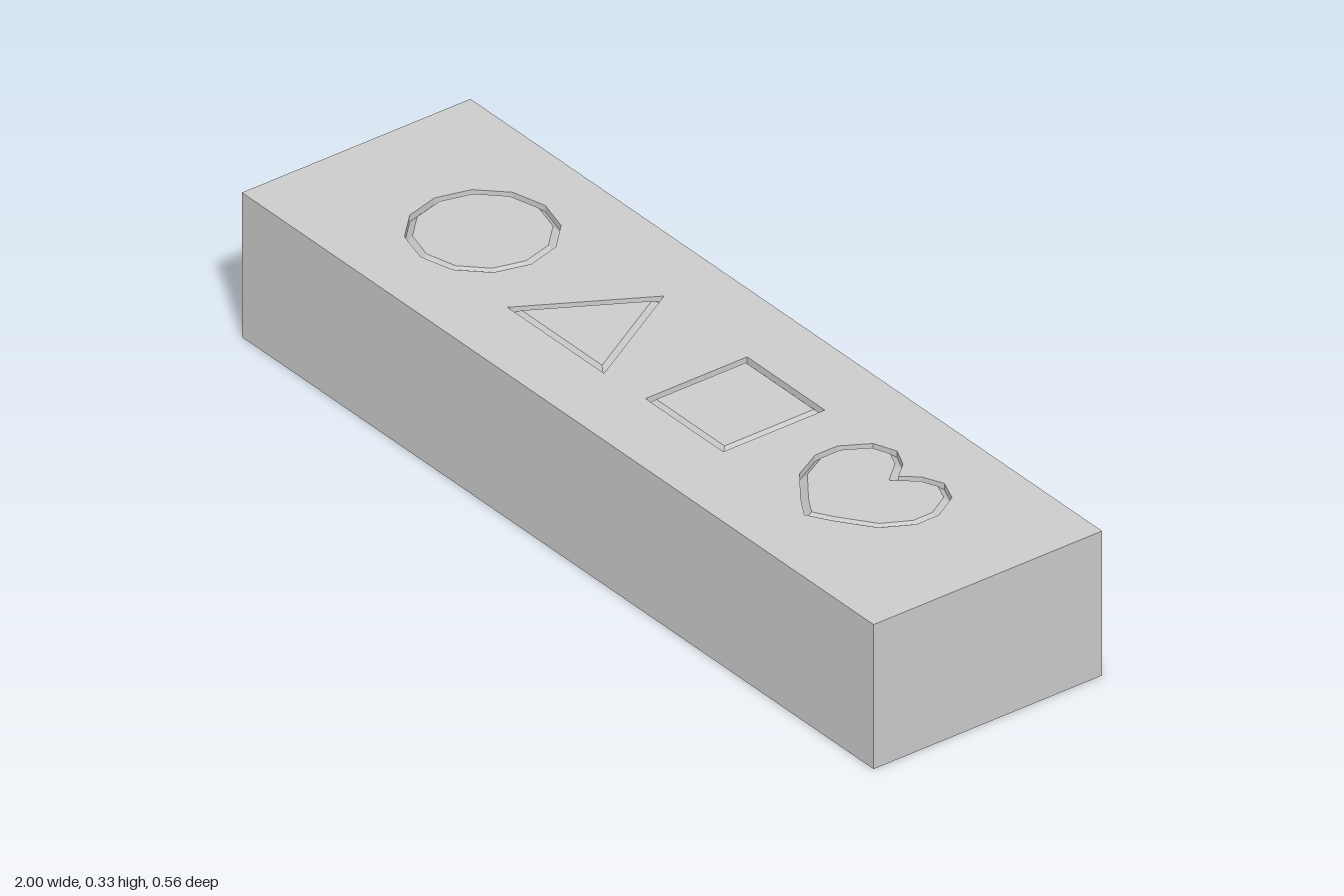
import * as THREE from 'three';

const LENGTH = 2, WIDTH = 0.56, HEIGHT = 0.33;
const DEPTH = 0.015; // groove depth
const BEVEL = 0.015; // bevel width on each inlaid shape

const material = new THREE.MeshStandardMaterial({ color: 0xcccccc, flatShading: true });
const points = (list, cx) => list.map(([x, y]) => new THREE.Vector2(x + cx, y));

// Counter-clockwise outlines on the top face; +y points to the back
function circleOutline(cx, r, sides) {
  return Array.from({ length: sides }, (_, i) => {
    const a = (i / sides) * Math.PI * 2;
    return new THREE.Vector2(cx + r * Math.cos(a), r * Math.sin(a) + 0.003);
  });
}

function heartOutline(cx) {
  const side = [[0.05, -0.11], [0.125, -0.055], [0.16, 0.01], [0.16, 0.065],
    [0.125, 0.125], [0.075, 0.145], [0.03, 0.125]];
  const mirrored = side.map(([x, y]) => [-x, y]).reverse();
  return points([[0, -0.14], ...side, [0, 0.09], ...mirrored], cx);
}

// Outline moved inwards by w with mitred corners
function inset(outline, w) {
  const n = outline.length;
  const normal = (a, b) => {
    const d = b.clone().sub(a).normalize();
    return new THREE.Vector2(-d.y, d.x);
  };
  return outline.map((p, i) => {
    const n1 = normal(outline[(i + n - 1) % n], p);
    const n2 = normal(p, outline[(i + 1) % n]);
    return n1.clone().add(n2).multiplyScalar(w / (1 + n1.dot(n2))).add(p);
  });
}

// Extrude upwards from the floor of the grooves
function extrudeUp(shape) {
  return new THREE.ExtrudeGeometry(shape, { depth: DEPTH, bevelEnabled: false });
}

function place(geometry, name) {
  geometry.rotateX(-Math.PI / 2).translate(0, HEIGHT - DEPTH, 0);
  geometry.computeVertexNormals();
  const mesh = new THREE.Mesh(geometry, material);
  mesh.name = name;
  return mesh;
}

// Prism whose top outline is drawn in, giving sloped sides
function inlay(outline, name) {
  const geometry = extrudeUp(new THREE.Shape(outline));
  const top = inset(outline, BEVEL);
  const pos = geometry.attributes.position;
  for (let i = 0; i < pos.count; i++) {
    if (pos.getZ(i) < DEPTH / 2) continue;
    const k = outline.findIndex(p => Math.hypot(p.x - pos.getX(i), p.y - pos.getY(i)) < 1e-4);
    if (k >= 0) pos.setXY(i, top[k].x, top[k].y);
  }
  return place(geometry, name);
}

export function createModel() {
  const group = new THREE.Group();
  group.name = 'shapeBlock';

  const outlines = {
    circleInlay: circleOutline(-0.603, 0.153, 12),
    triangleInlay: points([[-0.153, -0.13], [0.153, -0.13], [0, 0.135]], -0.2),
    squareInlay: points([[-0.123, -0.123], [0.123, -0.123], [0.123, 0.126], [-0.123, 0.126]], 0.198),
    heartInlay: heartOutline(0.6),
  };

  // Solid block below the grooves
  const base = new THREE.Mesh(new THREE.BoxGeometry(LENGTH, HEIGHT - DEPTH, WIDTH), material);
  base.position.y = (HEIGHT - DEPTH) / 2;
  base.name = 'block';
  group.add(base);

  // Top layer with an opening for each shape
  const x = LENGTH / 2, y = WIDTH / 2;
  const plate = new THREE.Shape(points([[-x, -y], [x, -y], [x, y], [-x, y]], 0));
  for (const outline of Object.values(outlines)) plate.holes.push(new THREE.Path(outline));
  group.add(place(extrudeUp(plate), 'topLayer'));

  // Bevelled shapes lying flush in the openings
  for (const [name, outline] of Object.entries(outlines)) group.add(inlay(outline, name));

  return group;
}
